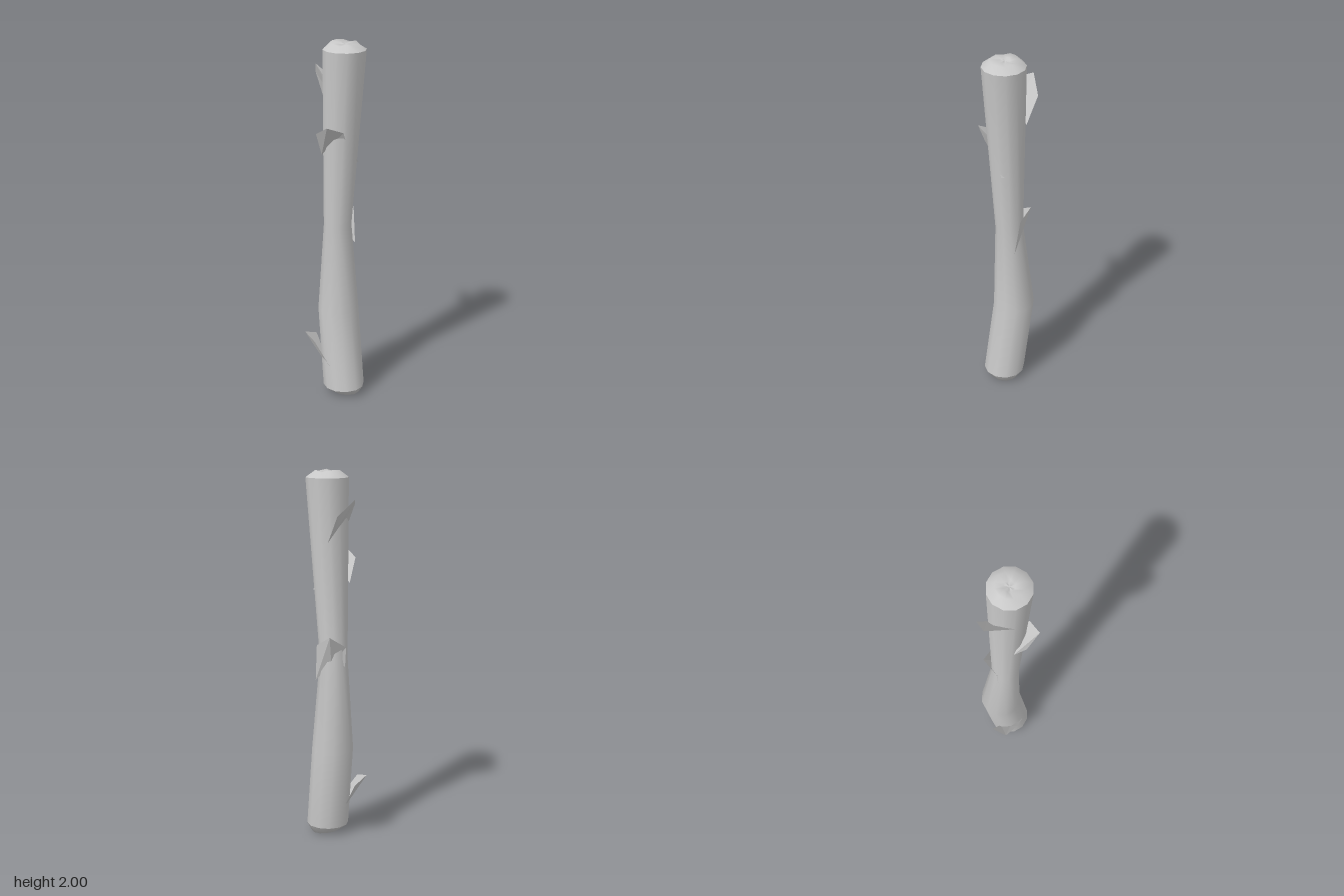
import * as THREE from 'three';

const SIDES = 12;
const bark = new THREE.MeshStandardMaterial({ color: 0xc8c8c8, side: THREE.DoubleSide });
bark.name = 'pale grey wood';

// One ring of points: centre, radius, and a height offset per corner.
function ring(x, y, z, r, bump = () => 0) {
  return Array.from({ length: SIDES }, (_, j) => {
    const a = ((j + 0.5) / SIDES) * Math.PI * 2;
    return [x + Math.cos(a) * r, y + bump(j, a), z + Math.sin(a) * r];
  });
}

// Skin rows of points (bottom to top, outward faces).
function skin(rows, closed) {
  const n = rows[0].length;
  const index = [];
  for (let i = 0; i < rows.length - 1; i++) {
    for (let j = 0; j < (closed ? n : n - 1); j++) {
      const k = (j + 1) % n;
      const a = i * n + j, b = i * n + k, c = a + n, d = b + n;
      index.push(a, c, d, a, d, b);
    }
  }
  const g = new THREE.BufferGeometry();
  g.setAttribute('position', new THREE.Float32BufferAttribute(rows.flat(2), 3));
  g.setIndex(index);
  g.computeVertexNormals();
  return g;
}

export function createModel() {
  const group = new THREE.Group();
  group.name = 'log';
  const add = (name, geometry) => {
    const mesh = new THREE.Mesh(geometry, bark);
    mesh.name = name;
    group.add(mesh);
  };

  // Bent trunk, narrow in the middle
  add('trunk', skin([
    ring(0.049, 0.05, -0.017, 0.114),
    ring(-0.008, 0.5, -0.04, 0.112),
    ring(0.005, 1.0, -0.016, 0.075),
    ring(0.049, 1.96, -0.017, 0.114),
  ], true));

  // Rough broken ends
  const rough = [0, 0.008, -0.004, 0.004, -0.002, 0.009, 0.01, 0.008, -0.003, 0.006, -0.004, 0.003];
  add('topEnd', skin([
    ring(0.049, 1.96, -0.017, 0.114),
    ring(0.049, 1.99, -0.017, 0.072, (j) => rough[j]),
    ring(0.045, 1.985, -0.017, 0.03, (j) => rough[(j * 5) % SIDES]),
    ring(0.045, 1.987, -0.017, 0.0001),
  ], true));
  add('bottomEnd', skin([
    ring(0.055, 0.016, -0.02, 0.0001),
    ring(0.053, 0.012, -0.025, 0.08, (j, a) => -0.007 * Math.cos(a) + 0.005 * Math.sin(a)),
    ring(0.049, 0.05, -0.017, 0.114),
  ], true));

  // Peeling bark flaps: base row on the trunk, free row outside
  const flaps = {
    lowerBarkFlap: [
      [[-0.06, 0.15, -0.01], [-0.05, 0.2, 0.05], [0.03, 0.19, 0.087]],
      [[-0.148, 0.305, -0.018], [-0.154, 0.345, 0.077], [-0.062, 0.32, 0.105]],
    ],
    backBarkFlap: [
      [[0.06, 0.88, -0.1], [-0.03, 0.98, -0.075], [-0.075, 0.96, -0.015]],
      [[0.035, 1.08, -0.118], [-0.055, 1.13, -0.116], [-0.08, 1.065, -0.012]],
    ],
    frontBarkFlap: [
      [[-0.042, 1.4, 0.06], [0.03, 1.47, 0.065], [0.1, 1.49, 0.035]],
      [[-0.027, 1.53, 0.125], [0.063, 1.58, 0.147], [0.107, 1.545, 0.065]],
    ],
    upperBarkFlap: [
      [[-0.03, 1.63, -0.1], [-0.04, 1.7, -0.02], [-0.035, 1.73, 0.06]],
      [[-0.105, 1.77, -0.112], [-0.16, 1.855, -0.037], [-0.1, 1.83, 0.035]],
    ],
    // Small splinter on the side
    splinter: [
      [[0.095, 1.36, -0.06], [0.115, 1.365, -0.055]],
      [[0.1, 1.41, -0.03], [0.1, 1.405, -0.025]],
    ],
  };
  for (const [name, rows] of Object.entries(flaps)) {
    const g = skin(rows, false).toNonIndexed();
    g.computeVertexNormals();
    add(name, g);
  }
  return group;
}
